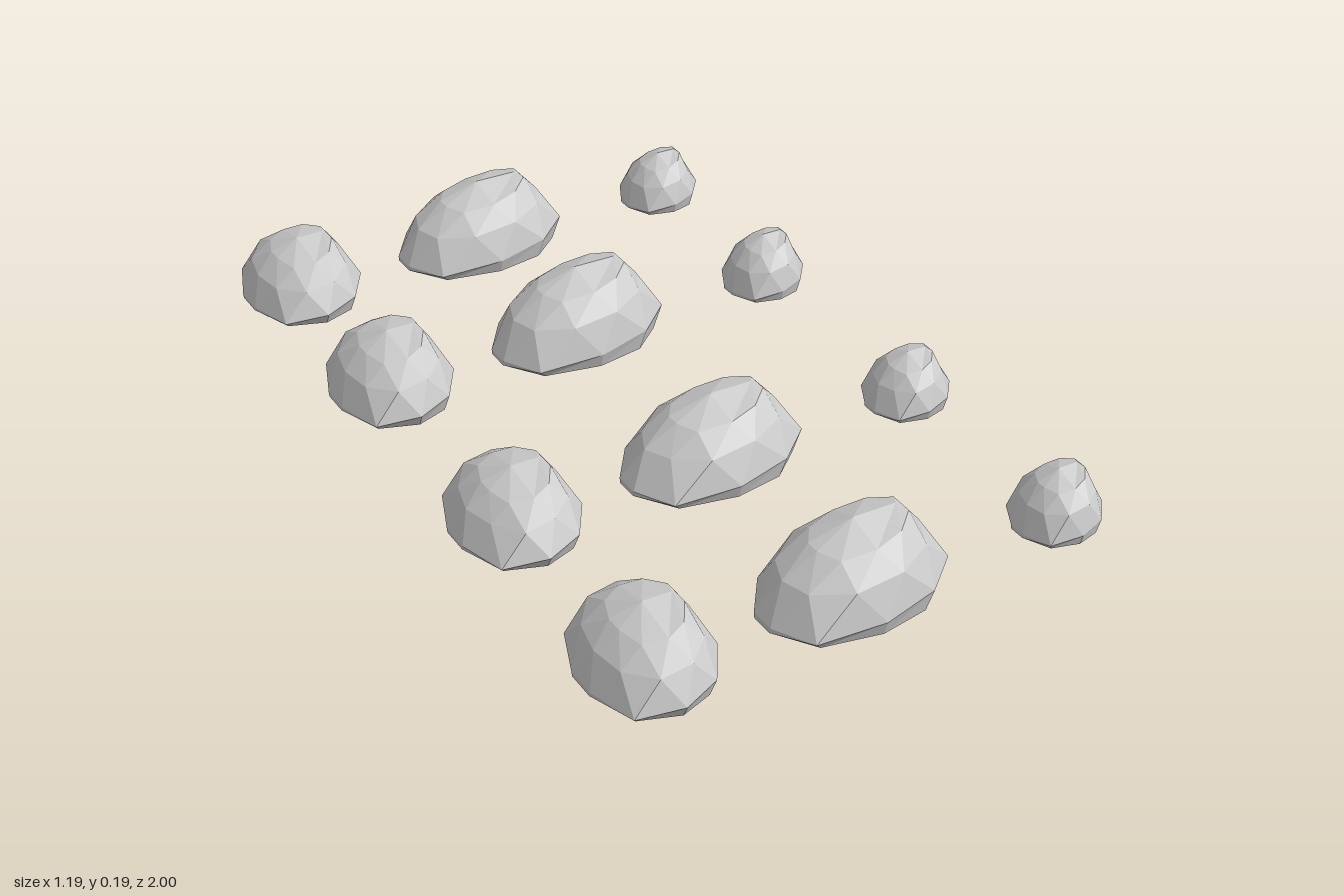
import * as THREE from 'three';

// Plan outline of a rock at its widest, running -x, back, +x, front
const OUTLINE = [
  [-0.2, -0.03], [-0.14, -0.115], [-0.01, -0.147], [0.115, -0.12], [0.195, -0.045],
  [0.195, 0.055], [0.115, 0.125], [-0.01, 0.15], [-0.155, 0.125], [-0.2, 0.03],
];
const N = OUTLINE.length;

// Faceted boulder lofted through four rings and closed by a short ridge.
// dents: ring index -> inward scale, for the weathered rocks
function rockGeometry(dents = {}) {
  const v = (x, y, z) => new THREE.Vector3(x, y, z);
  const next = (i) => (i + 1) % N;
  const base = OUTLINE.map(([x, z]) => v(x < -0.18 ? x : x * 0.9, 0, z * 0.92));
  const waist = OUTLINE.map(([x, z]) => v(x, 0.036 + 0.12 * x, z));
  // Shoulder points sit half a step round from the waist
  const shoulder = OUTLINE.map(([x, z], i) => {
    const [x2, z2] = OUTLINE[next(i)];
    const d = dents[i] ?? 1;
    const mx = (x + x2) / 2 * 0.79 * d, mz = (z + z2) / 2 * 0.88 * d;
    return v(mx, 0.112 + 0.13 * mx, mz);
  });
  const crown = OUTLINE.map(([x, z]) => {
    const cx = x * 0.51 + 0.012, cz = z * 0.52;
    return v(cx, 0.163 + 0.18 * cx - 1.5 * cz * cz, cz);
  });
  const ridge = [v(0, 0.186, 0), v(0.1, 0.186, 0)];
  const ridgeEnd = (i) => ridge[OUTLINE[i][0] > 0.05 ? 1 : 0];
  const bottom = v(0, 0, 0);

  const pts = [];
  for (let i = 0; i < N; i++) {
    const j = next(i);
    pts.push(base[i], base[j], bottom);
    pts.push(base[i], waist[i], base[j], base[j], waist[i], waist[j]);
    pts.push(waist[i], shoulder[i], waist[j], waist[j], shoulder[i], shoulder[j]);
    pts.push(shoulder[i], crown[j], shoulder[j], crown[i], crown[j], shoulder[i]);
    pts.push(crown[i], ridgeEnd(i), crown[j]);
    if (ridgeEnd(i) !== ridgeEnd(j)) pts.push(crown[j], ridgeEnd(i), ridgeEnd(j));
  }
  const geo = new THREE.BufferGeometry().setFromPoints(pts);
  geo.computeVertexNormals();
  return geo;
}

export function createModel() {
  const group = new THREE.Group();
  group.name = 'rocks';
  const material = new THREE.MeshStandardMaterial({ color: 0xcccccc, flatShading: true });
  const smooth = rockGeometry();
  const worn = rockGeometry({ 6: 0.96, 8: 0.93, 0: 0.96 });

  // Three sizes, one per column
  const columns = [
    { name: 'wideRock', x: -0.467, y: 0.007, scale: [0.65, 0.8, 1.22] },
    { name: 'largeRock', x: 0, y: 0, scale: [1, 1, 1] },
    { name: 'smallRock', x: 0.5, y: 0.007, scale: [0.465, 0.69, 0.67] },
  ];
  // Four rows from back to front
  const rows = [
    { z: -0.82, height: 0.95 },
    { z: -0.32, height: 1 },
    { z: 0.277, height: 0.94, worn: true },
    { z: 0.813, height: 1 },
  ];
  rows.forEach((row, r) => columns.forEach((col) => {
    const rock = new THREE.Mesh(row.worn ? worn : smooth, material);
    rock.name = `${col.name}${r + 1}`;
    rock.position.set(col.x, col.y, row.z);
    rock.scale.set(col.scale[0], col.scale[1] * row.height, col.scale[2]);
    group.add(rock);
  }));
  return group;
}
